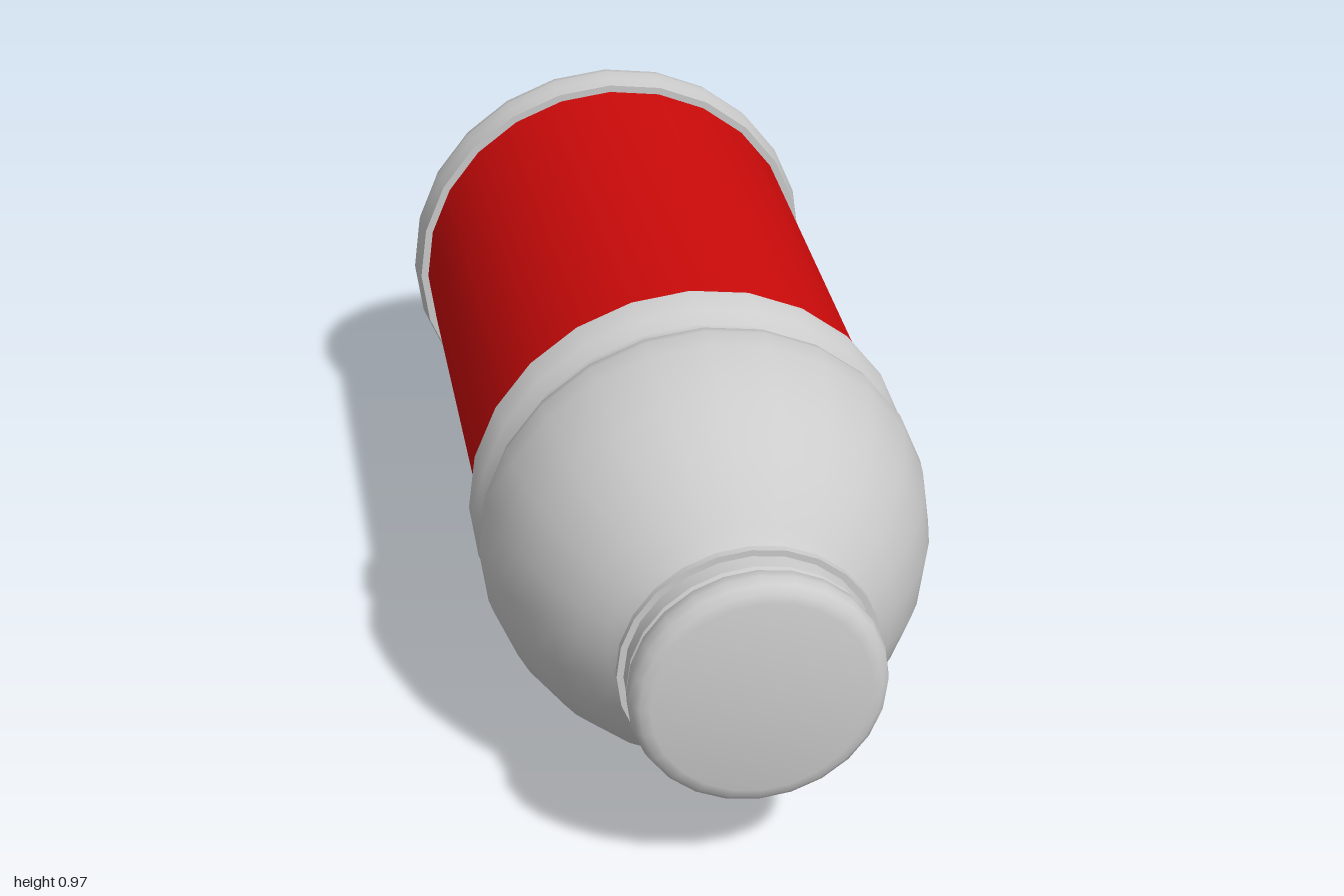
import * as THREE from 'three';
import { toCreasedNormals } from 'three/addons/utils/BufferGeometryUtils.js';

const SIDES = 24;
const CENTRE_Y = 0.49;

// Turns [radius, z] pairs (back to front) around the z axis
function turned(name, profile, color) {
  const points = profile.map(([r, z]) => new THREE.Vector2(r, z));
  const geometry = new THREE.LatheGeometry(points, SIDES);
  geometry.rotateX(Math.PI / 2);
  const material = new THREE.MeshStandardMaterial({ color });
  const mesh = new THREE.Mesh(toCreasedNormals(geometry, 0.6), material);
  mesh.name = name;
  return mesh;
}

export function createModel() {
  const grey = 0xcccccc;
  const bottle = new THREE.Group();
  bottle.name = 'bottle';
  bottle.position.y = CENTRE_Y;

  bottle.add(
    // Closed base with a rounded rim
    turned('base', [
      [0, -1], [0.472, -1], [0.482, -0.985], [0.487, -0.96],
      [0.48, -0.935], [0.479, -0.91], [0.477, -0.9], [0.45, -0.9],
    ], grey),

    // Straight wrap between base and shoulder
    turned('label', [[0.46, -0.905], [0.46, 0.195]], 0xcc0a0a),

    // Flared collar, waist groove and domed shoulder running into the neck
    turned('shoulder', [
      [0.45, 0.19], [0.487, 0.19], [0.484, 0.215], [0.472, 0.245],
      [0.452, 0.275], [0.451, 0.295], [0.465, 0.32], [0.482, 0.345],
      [0.487, 0.37], [0.481, 0.42], [0.463, 0.5], [0.441, 0.56],
      [0.412, 0.62], [0.375, 0.68], [0.329, 0.74], [0.275, 0.79],
      [0.237, 0.825], [0.222, 0.85], [0.222, 0.88],
    ], grey),

    // Thin tamper ring under the cap
    turned('capRing', [
      [0.21, 0.862], [0.272, 0.862], [0.272, 0.878], [0.21, 0.878],
    ], grey),

    // Screw cap: narrower band, rounded grip and flat end
    turned('cap', [
      [0.21, 0.876], [0.258, 0.876], [0.258, 0.915], [0.252, 0.92],
      [0.262, 0.935], [0.265, 0.96], [0.259, 0.982], [0.245, 0.995],
      [0.225, 1], [0, 1],
    ], grey),
  );

  const model = new THREE.Group();
  model.add(bottle);
  return model;
}
